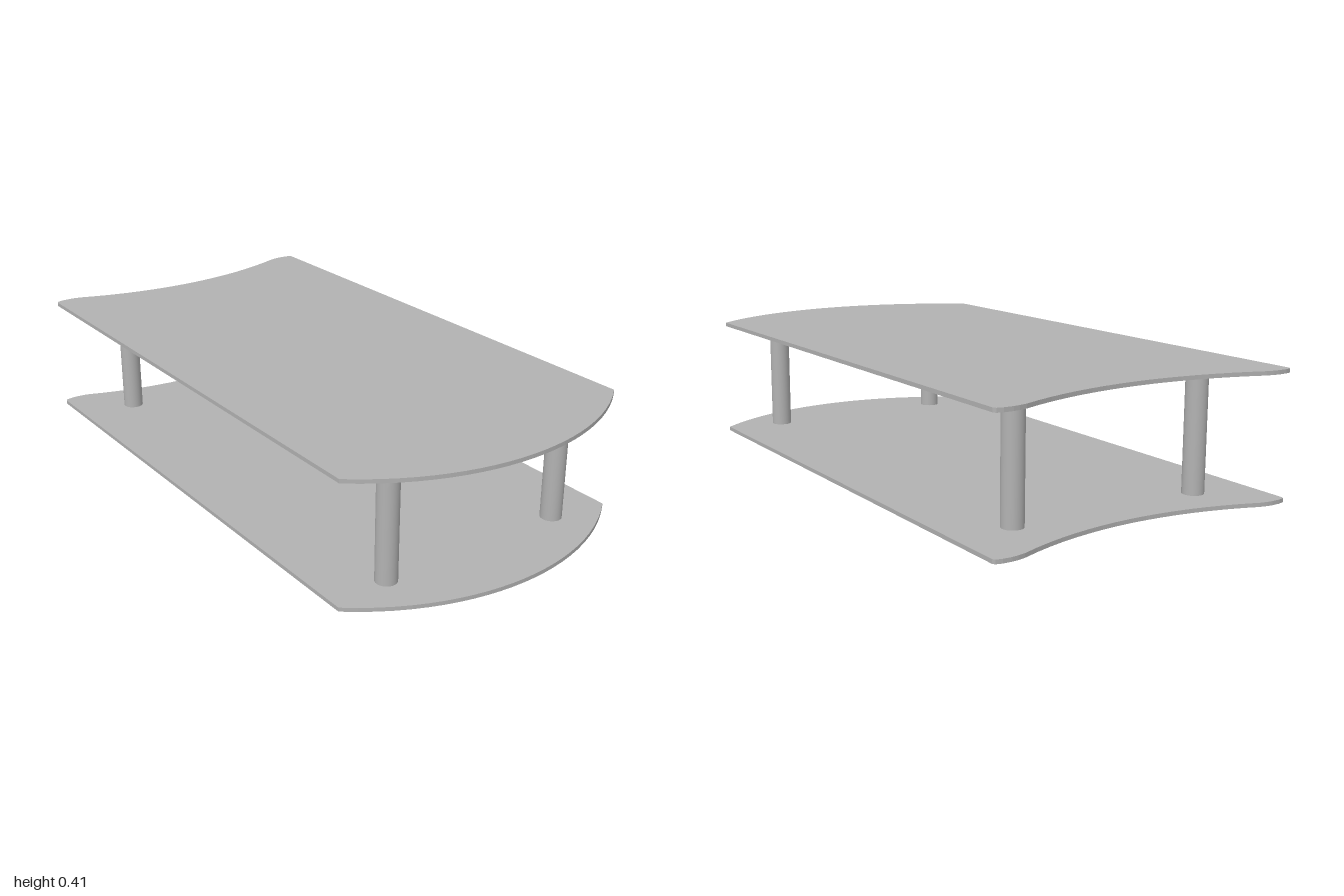
import * as THREE from 'three';

const THICK = 0.013, HEIGHT = 0.413, HALF = 0.53;

// Points on an arc through (xMid, 0) bulging toward +x or curving back, for z from z0 to z1
function arcPoints(xMid, radius, z0, z1, n) {
  const pts = [];
  for (let i = 0; i <= n; i++) {
    const z = z0 + (z1 - z0) * i / n;
    pts.push(new THREE.Vector2(xMid - (radius - Math.sqrt(radius * radius - z * z)), z));
  }
  return pts;
}

// Outline: convex end at +x, concave end with rounded tips at -x
function plateGeometry() {
  const tip = [[-0.985, HALF], [-0.994, 0.525], [-0.999, 0.505], [-1, 0.475], [-0.998, 0.455]];
  const outline = [
    ...arcPoints(1, 0.84, -HALF, HALF, 24),
    ...tip.map(([x, z]) => new THREE.Vector2(x, z)),
    ...arcPoints(-0.91, 1.16, 0.43, -0.43, 16),
    ...tip.reverse().map(([x, z]) => new THREE.Vector2(x, -z)),
  ];
  const geo = new THREE.ExtrudeGeometry(new THREE.Shape(outline), { depth: THICK, bevelEnabled: false });
  return geo.rotateX(-Math.PI / 2);
}

export function createModel() {
  const model = new THREE.Group();
  model.name = 'twoTierShelf';
  const grey = new THREE.MeshStandardMaterial({ color: 0xb2b2b2 });
  grey.name = 'grey';

  // Lower and upper plates
  const plate = plateGeometry();
  for (const [name, y] of [['lowerPlate', 0], ['upperPlate', HEIGHT - THICK]]) {
    const mesh = new THREE.Mesh(plate, grey);
    mesh.name = name;
    mesh.position.y = y;
    model.add(mesh);
  }

  // Four round posts between the plates
  const post = new THREE.CylinderGeometry(0.035, 0.035, HEIGHT - 2 * THICK, 24);
  const posts = [
    ['frontRightPost', -0.805, 0.333], ['backRightPost', -0.79, -0.331],
    ['frontLeftPost', 0.775, 0.333], ['backLeftPost', 0.775, -0.331],
  ];
  for (const [name, x, z] of posts) {
    const mesh = new THREE.Mesh(post, grey);
    mesh.name = name;
    mesh.position.set(x, HEIGHT / 2, z);
    model.add(mesh);
  }
  return model;
}
